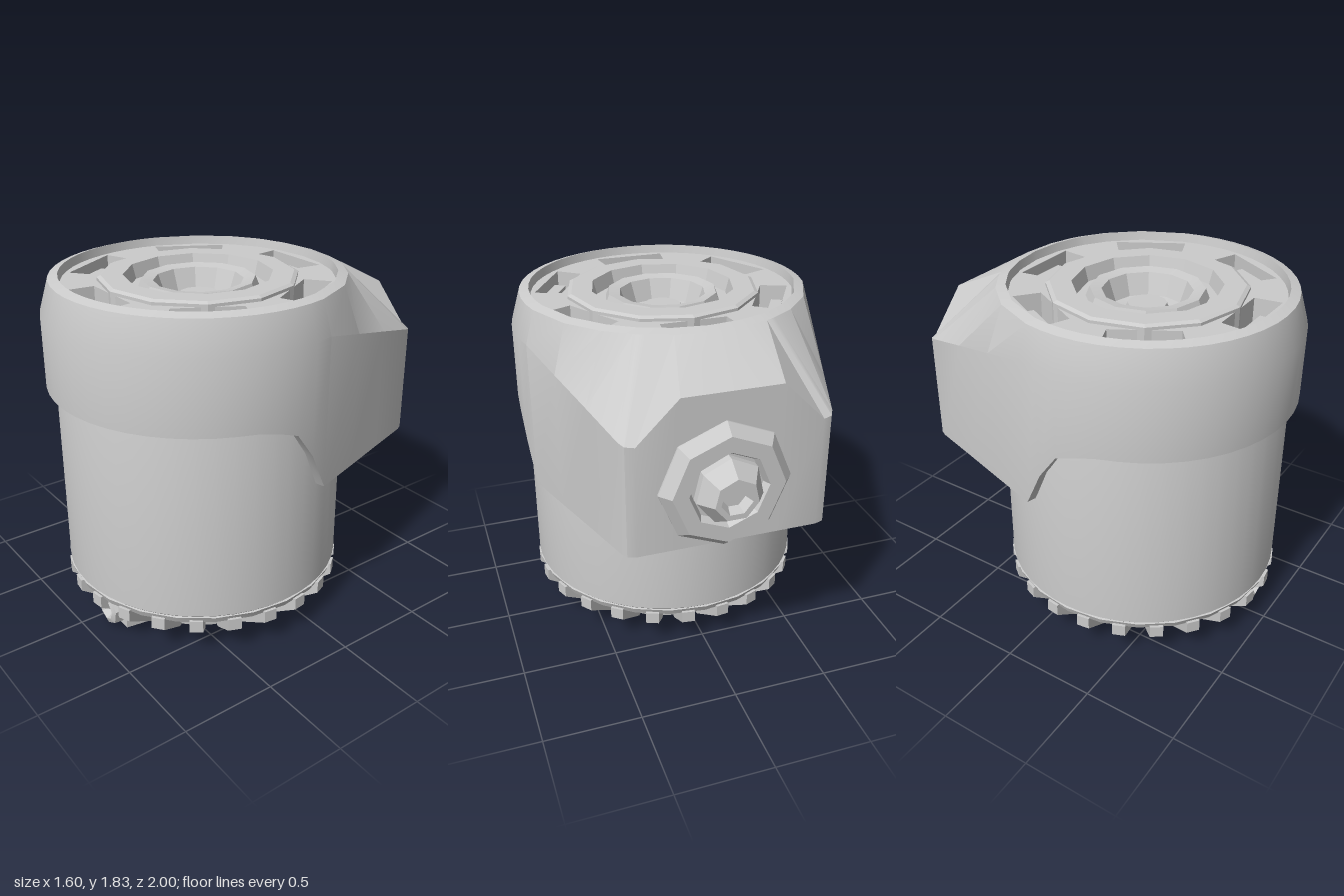
import * as THREE from 'three';
import { toCreasedNormals } from 'three/addons/utils/BufferGeometryUtils.js';

const AXIS_Z = 0.2; // the drum axis sits forward of the middle
const material = new THREE.MeshStandardMaterial({ color: 0xcccccc, side: THREE.DoubleSide });

function addPart(parent, name, geometry, crease = 0.4) {
  const mesh = new THREE.Mesh(toCreasedNormals(geometry, crease), material);
  mesh.name = name;
  parent.add(mesh);
  return mesh;
}

function lathe(profile, segments) {
  return new THREE.LatheGeometry(profile.map(([r, y]) => new THREE.Vector2(r, y)), segments);
}

// Linear interpolation through [input, output] pairs in ascending order
function along(table, t) {
  if (t <= table[0][0]) return table[0][1];
  for (let i = 1; i < table.length; i++) {
    const [a, u] = table[i - 1], [b, v] = table[i];
    if (t <= b) return u + (v - u) * (t - a) / (b - a);
  }
  return table[table.length - 1][1];
}

// Plan of the housing: round front, straight sides narrowing to a flat back
function housingOutline() {
  const half = [];
  for (let i = 0; i <= 14; i++) {
    const a = i * Math.PI / 24;
    half.push([0.8 * Math.sin(a), AXIS_Z + 0.8 * Math.cos(a)]);
  }
  half.push([0.69, -0.27], [0.605, -0.535], [0.525, -0.79], [0.505, -0.825], [0.46, -0.84], [0.25, -0.84], [0, -0.84]);
  const mirrored = half.slice(1, -1).reverse().map(([x, z]) => [-x, z]);
  return [...half, ...mirrored];
}

// Housing walls, stepped lower edge, sloped shoulder and raised rim
function housingGeometry() {
  const outline = housingOutline(), n = outline.length;
  const lowerEdge = [[0, 0.85], [0.04, 0.9], [0.1, 1.07], [0.2, 1.2], [0.3, 1.235], [0.42, 1.26]];
  const shoulderEdge = [[-0.84, 1.43], [0, 1.64]];
  const circle = (x, z, r, y) => {
    const d = Math.hypot(x, z - AXIS_Z);
    return [x / d * r, y, AXIS_Z + (z - AXIS_Z) / d * r];
  };
  const rings = [
    (x, z) => circle(x, z, 0.74, along(lowerEdge, z)),
    (x, z) => [x, along(lowerEdge, z), z],
    (x, z) => [x, z < -0.83 && Math.abs(x) < 0.3 ? 1.64 : along(shoulderEdge, z), z],
    (x, z) => circle(x, z, 0.75, 1.81),
    (x, z) => circle(x, z, 0.70, 1.825),
    (x, z) => circle(x, z, 0.685, 1.74),
  ];
  const positions = [], index = [];
  rings.forEach((ring, k) => outline.forEach(([x, z], i) => {
    positions.push(...ring(x, z));
    if (k === 0) return;
    const j = (i + 1) % n, low = (k - 1) * n, high = k * n;
    index.push(low + i, low + j, high + j, low + i, high + j, high + i);
  }));
  const geometry = new THREE.BufferGeometry();
  geometry.setAttribute('position', new THREE.Float32BufferAttribute(positions, 3));
  geometry.setIndex(index);
  return geometry;
}

// Annular deck with six pockets cut through it
function deckGeometry() {
  const shape = new THREE.Shape().absarc(0, 0, 0.71, 0, Math.PI * 2);
  shape.holes.push(new THREE.Path().absarc(0, 0, 0.48, 0, Math.PI * 2, true));
  for (let i = 0; i < 6; i++) {
    const a = Math.PI / 2 + i * Math.PI / 3;
    const corners = [[0.53, -0.33], [0.67, -0.29], [0.67, 0.29], [0.53, 0.33]];
    shape.holes.push(new THREE.Path(corners.map(([r, d]) =>
      new THREE.Vector2(r * Math.cos(a + d), r * Math.sin(a + d)))));
  }
  return new THREE.ExtrudeGeometry(shape, { depth: 0.14, bevelEnabled: false, curveSegments: 24 })
    .rotateX(-Math.PI / 2).translate(0, 1.64, 0);
}

export function createModel() {
  const model = new THREE.Group();
  model.name = 'motorUnit';
  const drum = new THREE.Group();
  drum.name = 'drum';
  drum.position.z = AXIS_Z;
  model.add(drum);

  // Main barrel
  addPart(drum, 'barrel', lathe([[0, 0.23], [0.735, 0.23], [0.75, 0.245], [0.75, 1.5], [0.7, 1.64], [0, 1.64]], 48));

  // Base with its recessed centre and upper flange
  addPart(drum, 'base', lathe([[0, 0.09], [0.17, 0.08], [0.2, 0], [0.5, 0], [0.53, 0.2], [0.74, 0.2], [0.755, 0.235], [0.7, 0.245]], 24));
  addPart(drum, 'baseSocket', new THREE.CylinderGeometry(0.1, 0.07, 0.07, 6).translate(0, 0.065, 0));

  // Tapered ribs around the base
  const rib = new THREE.Shape([[0.48, 0], [0.52, 0], [0.755, 0.15], [0.755, 0.215], [0.48, 0.215]]
    .map(([r, y]) => new THREE.Vector2(r, y)));
  const ribGeometry = new THREE.ExtrudeGeometry(rib, { depth: 0.07, bevelEnabled: false }).translate(0, 0, -0.035);
  const ribs = new THREE.Group();
  ribs.name = 'baseRibs';
  drum.add(ribs);
  for (let i = 0; i < 24; i++) {
    addPart(ribs, 'baseRib', ribGeometry).rotation.y = (i + 0.5) * Math.PI / 12;
  }

  // Small outlet at the front of the base
  const outlet = new THREE.Group();
  outlet.name = 'frontOutlet';
  outlet.position.set(0.1, 0.105, 0.5);
  drum.add(outlet);
  const block = new THREE.CylinderGeometry(0.13, 0.16, 0.3, 4, 1).rotateY(Math.PI / 4).rotateX(Math.PI / 2);
  addPart(outlet, 'outletBlock', block.scale(1.2, 0.9, 1).translate(0, 0, -0.01));
  addPart(outlet, 'outletNozzle',
    lathe([[0.1, 0], [0.09, 0.19], [0.06, 0.2], [0.04, 0.15], [0, 0.14]], 7).rotateX(Math.PI / 2));

  // Housing wrapped around the top and reaching to the back
  addPart(model, 'housing', housingGeometry(), 0.35);

  // Top deck, with a lug in each pocket
  addPart(drum, 'topDeck', deckGeometry());
  for (let i = 0; i < 6; i++) {
    const lug = addPart(drum, 'pocketLug', new THREE.BoxGeometry(0.2, 0.1, 0.06).translate(0, 1.68, 0.6));
    lug.rotation.y = i * Math.PI / 3;
  }

  // Stepped hub in the middle of the top
  addPart(drum, 'topHub', lathe([[0.51, 1.64], [0.51, 1.795], [0.49, 1.805], [0.38, 1.805], [0.36, 1.73], [0.31, 1.73],
    [0.29, 1.78], [0.23, 1.77], [0.19, 1.66], [0.12, 1.65], [0.1, 1.7], [0, 1.7]], 12), 0.2);

  // Bolt and its collar on the back
  const backBolt = new THREE.Group();
  backBolt.name = 'backBolt';
  backBolt.position.set(0.03, 1.17, -0.83);
  backBolt.rotation.x = -Math.PI / 2;
  model.add(backBolt);
  addPart(backBolt, 'boltCollar', lathe([[0.33, 0], [0.33, 0.02], [0.28, 0.08], [0.2, 0.08], [0.18, 0.04], [0, 0.04]], 8), 0.1);
  addPart(backBolt, 'boltHead', lathe([[0.17, 0.04], [0.17, 0.08], [0.11, 0.17], [0.08, 0.17], [0.06, 0.12], [0, 0.12]], 7), 0.1);
  return model;
}
